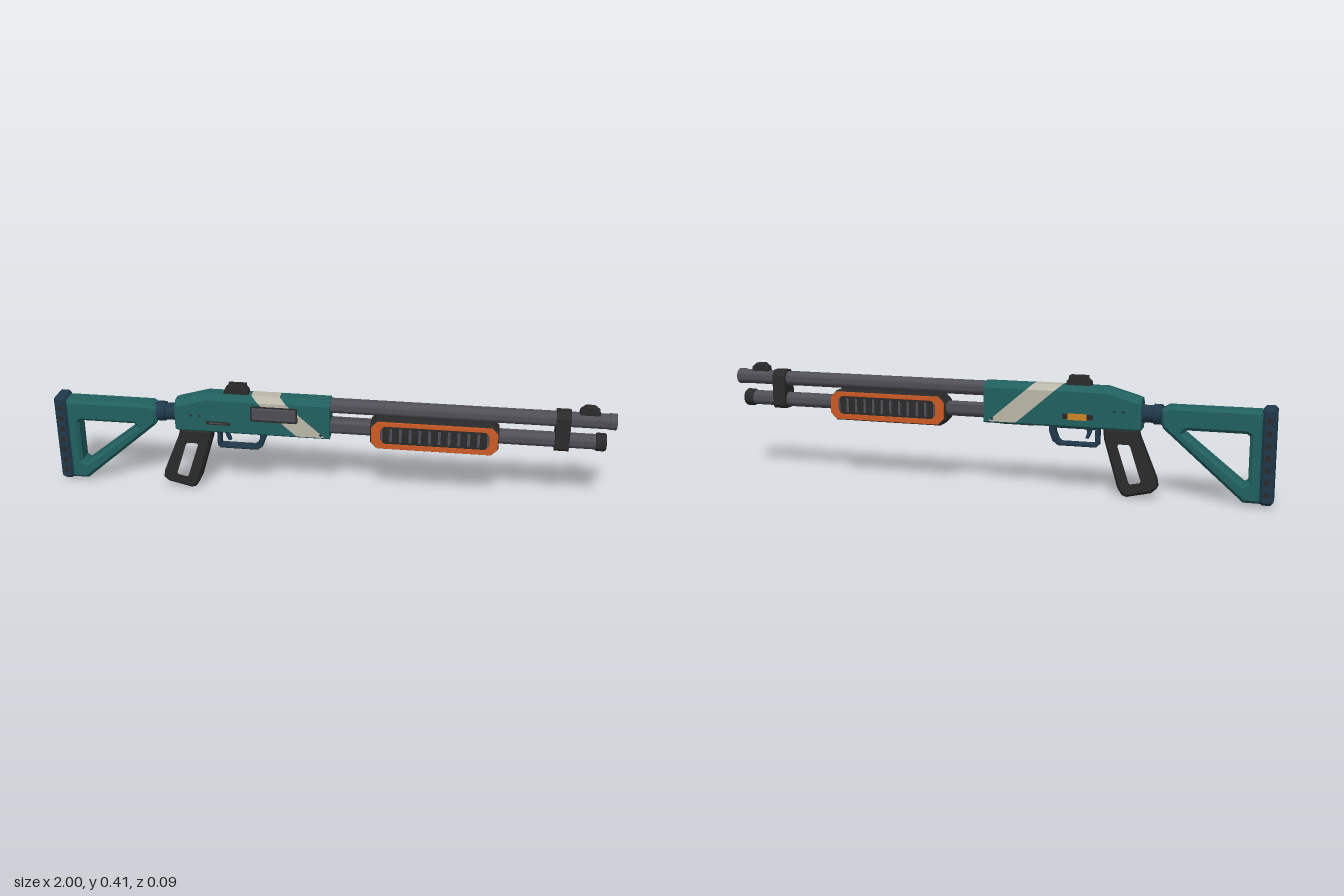
import * as THREE from 'three';
import { toCreasedNormals } from 'three/addons/utils/BufferGeometryUtils.js';
import { ConvexGeometry } from 'three/addons/geometries/ConvexGeometry.js';

const material = (name, color, extra = {}) => {
  const m = new THREE.MeshStandardMaterial({ color, ...extra });
  m.name = name;
  return m;
};

export function createModel() {
  const teal = material('teal', 0x21605f);
  const navy = material('navy', 0x20384a);
  const black = material('black', 0x2a2a2a);
  const metal = material('gunmetal', 0x504e56);
  const orange = material('orange', 0xcc5a24);
  const amber = material('amber', 0xcf8426);
  const cream = material('cream', 0xbab7a8, { side: THREE.DoubleSide });

  const model = new THREE.Group();
  model.name = 'pumpGun';

  const add = (name, geometry, mat) => {
    const mesh = new THREE.Mesh(geometry, mat);
    mesh.name = name;
    model.add(mesh);
    return mesh;
  };
  const box = (name, mat, x0, x1, y0, y1, z0, z1) =>
    add(name, new THREE.BoxGeometry(x1 - x0, y1 - y0, z1 - z0), mat)
      .position.set((x0 + x1) / 2, (y0 + y1) / 2, (z0 + z1) / 2);

  // Side outline extruded across z, with chamfered rims and an optional hole
  const toVectors = pts => pts.map(p => new THREE.Vector2(...p));
  const slab = (name, mat, pts, z0, z1, bevel = 0, hole = null) => {
    const shape = new THREE.Shape(toVectors(pts));
    if (hole) shape.holes.push(new THREE.Path(toVectors(hole)));
    const g = new THREE.ExtrudeGeometry(shape, {
      depth: z1 - z0 - 2 * bevel, bevelEnabled: bevel > 0, bevelSize: bevel,
      bevelThickness: bevel, bevelOffset: -bevel, bevelSegments: 1,
    });
    return add(name, g.translate(0, 0, z0 + bevel), mat);
  };

  // Rectangle with cut corners
  const cutRect = (x0, x1, y0, y1, c) => [
    [x0 + c, y0], [x1 - c, y0], [x1, y0 + c], [x1, y1 - c],
    [x1 - c, y1], [x0 + c, y1], [x0, y1 - c], [x0, y0 + c]];

  // Convex body through cross-sections [x, bottom, top, halfWidth, topCut, bottomCut]
  const hull = (name, mat, sections) => {
    const pts = [];
    for (const [x, y0, y1, w, c, b] of sections)
      for (const s of [-1, 1])
        pts.push(new THREE.Vector3(x, y0, s * (w - b)), new THREE.Vector3(x, y0 + b, s * w),
          new THREE.Vector3(x, y1 - c, s * w), new THREE.Vector3(x, y1, s * (w - c)));
    return add(name, new ConvexGeometry(pts), mat);
  };

  // Turned part along x from [radius, x] points
  const turned = (name, mat, y, pts, sides = 24) => {
    const g = toCreasedNormals(new THREE.LatheGeometry(toVectors(pts), sides), 0.6);
    return add(name, g.rotateZ(-Math.PI / 2).translate(0, y, 0), mat);
  };

  // Barrel with muzzle lip and bore, magazine tube and cap
  turned('barrel', metal, 0.354, [[0, 0], [0.027, 0], [0.027, 0.975], [0.029, 0.977],
    [0.029, 0.998], [0.027, 1], [0.019, 1], [0.019, 0.95]]);
  turned('bore', black, 0.354, [[0.019, 0.955], [0, 0.955]]);
  turned('magazineTube', metal, 0.274, [[0, 0], [0.027, 0], [0.027, 0.94], [0, 0.94]]);
  turned('magazineCap', black, 0.274, [[0, 0.935], [0.029, 0.935], [0.032, 0.941],
    [0.032, 0.966], [0.028, 0.972], [0, 0.972]]);
  for (const s of [-1, 1])
    box('actionBar', metal, 0, 0.17, 0.272, 0.296, s * 0.029 - 0.003, s * 0.029 + 0.003);

  // Barrel clamp and sights
  hull('barrelClamp', black, [[0.795, 0.242, 0.386, 0.036, 0.02, 0.012],
    [0.845, 0.242, 0.386, 0.036, 0.02, 0.012]]);
  slab('frontSight', black, [[0.87, 0.37], [0.945, 0.37], [0.94, 0.394], [0.922, 0.408],
    [0.892, 0.408], [0.874, 0.394]], -0.014, 0.014, 0.003);
  slab('rearSightBase', black, [[-0.373, 0.375], [-0.28, 0.375], [-0.285, 0.397],
    [-0.3, 0.407], [-0.352, 0.407], [-0.368, 0.397]], -0.018, 0.018);
  for (const s of [-1, 1])
    slab('rearSightEar', black, [[-0.36, 0.39], [-0.29, 0.39], [-0.293, 0.415], [-0.357, 0.415]],
      s * 0.013 - 0.005, s * 0.013 + 0.005);

  // Receiver
  hull('receiver', teal, [[-0.55, 0.238, 0.347, 0.036, 0.018, 0.006],
    [-0.535, 0.236, 0.352, 0.04, 0.02, 0.006],
    [-0.43, 0.236, 0.382, 0.04, 0.02, 0.006],
    [0.012, 0.236, 0.382, 0.04, 0.02, 0.006]]);

  // Slanted stripe wrapped over both sides and the top
  const over = [[0.242, 0.0407], [0.362, 0.0407], [0.3827, 0.0202],
    [0.3827, -0.0202], [0.362, -0.0407], [0.242, -0.0407]];
  const stripe = [], faces = [];
  over.forEach(([y, z], i) => {
    const x = -0.27 + (0.3827 - y) * 1.16;
    stripe.push(x, y, z, x + 0.102, y, z);
    if (i) faces.push(2 * i - 2, 2 * i - 1, 2 * i + 1, 2 * i - 2, 2 * i + 1, 2 * i);
  });
  const band = new THREE.BufferGeometry();
  band.setAttribute('position', new THREE.Float32BufferAttribute(stripe, 3));
  band.setIndex(faces);
  const flatBand = band.toNonIndexed();
  flatBand.computeVertexNormals();
  add('stripe', flatBand, cream);

  // Ejection port, slots, pins, safety and loading port
  slab('portFrame', black, cutRect(-0.272, -0.103, 0.292, 0.35, 0.004), 0.035, 0.044);
  slab('ejectionPort', metal, cutRect(-0.266, -0.109, 0.298, 0.345, 0.003), 0.035, 0.048, 0.003);
  box('sideSlot', black, -0.435, -0.348, 0.269, 0.281, 0.036, 0.0425);
  box('sideSlotBar', metal, -0.425, -0.36, 0.273, 0.277, 0.036, 0.0435);
  box('safetySlot', black, -0.385, -0.275, 0.266, 0.284, -0.042, -0.036);
  box('safety', amber, -0.363, -0.295, 0.264, 0.286, -0.045, -0.036);
  box('loadingPort', black, -0.17, -0.045, 0.232, 0.24, -0.022, 0.022);
  box('shellLifter', amber, -0.16, -0.125, 0.23, 0.24, -0.014, 0.014);
  for (const x of [-0.49, -0.46, -0.02]) {
    const pin = add('pin', new THREE.CylinderGeometry(0.005, 0.005, 0.084, 10), navy);
    pin.rotation.x = Math.PI / 2;
    pin.position.set(x, x < -0.4 ? 0.3 : 0.252, 0);
  }

  // Trigger guard and trigger
  slab('triggerGuard', navy, [[-0.402, 0.24], [-0.402, 0.175], [-0.392, 0.165], [-0.255, 0.165],
    [-0.235, 0.18], [-0.222, 0.215], [-0.222, 0.24]], -0.017, 0.017, 0.003,
    [[-0.388, 0.228], [-0.245, 0.228], [-0.245, 0.212], [-0.255, 0.187], [-0.265, 0.178], [-0.388, 0.178]]);
  slab('trigger', navy, [[-0.378, 0.238], [-0.352, 0.238], [-0.358, 0.215], [-0.352, 0.195],
    [-0.362, 0.193], [-0.371, 0.212]], -0.007, 0.007);

  // Open-frame grip
  slab('grip', black, [[-0.535, 0.24], [-0.418, 0.24], [-0.422, 0.2], [-0.472, 0.03], [-0.488, 0.005],
    [-0.505, 0], [-0.59, 0.02], [-0.608, 0.036], [-0.603, 0.065], [-0.543, 0.21]],
    -0.035, 0.035, 0.009,
    [[-0.523, 0.185], [-0.512, 0.195], [-0.468, 0.195], [-0.461, 0.18], [-0.505, 0.046],
      [-0.516, 0.038], [-0.556, 0.046], [-0.564, 0.06]]);

  // Stock tube, skeleton stock and butt pad
  turned('stockTube', navy, 0.293, [[0, -0.66], [0.03, -0.66], [0.03, -0.62], [0.036, -0.618],
    [0.036, -0.59], [0.031, -0.588], [0.031, -0.54], [0, -0.54]], 12);
  slab('stock', teal, [[-0.96, 0.012], [-0.9, 0.012], [-0.625, 0.25], [-0.618, 0.27],
    [-0.618, 0.315], [-0.64, 0.328], [-0.96, 0.328]], -0.038, 0.038, 0.011,
    [[-0.915, 0.24], [-0.905, 0.248], [-0.705, 0.248], [-0.695, 0.238], [-0.9, 0.075], [-0.915, 0.085]]);
  slab('buttPad', navy, cutRect(-1, -0.953, 0.008, 0.34, 0.01), -0.041, 0.041, 0.01);
  for (let i = 0; i < 7; i++)
    box('padNotch', black, -0.986, -0.968, 0.035 + i * 0.042, 0.055 + i * 0.042, -0.0416, 0.0416);

  // Pump: dark body with framed ribbed panels on both sides
  slab('pumpBody', black, cutRect(0.155, 0.605, 0.213, 0.323, 0.022), -0.044, 0.044, 0.012);
  for (const s of [-1, 1]) {
    const z = s * 0.0435;
    slab('pumpFrame', orange, cutRect(0.16, 0.602, 0.218, 0.32, 0.022), z - 0.0035, z + 0.0035, 0.001,
      cutRect(0.192, 0.572, 0.238, 0.304, 0.014));
    slab('pumpPanel', metal, cutRect(0.19, 0.574, 0.236, 0.306, 0.014), z - 0.002, z + 0.001);
    for (const y of [0.237, 0.297])
      box('pumpRail', black, 0.2, 0.564, y, y + 0.008, z - 0.0025, z + 0.0025);
    for (let i = 0; i < 11; i++) {
      const x = 0.212 + i * 0.034;
      box('pumpRib', black, x - 0.012, x + 0.012, 0.241, 0.301, z - 0.003, z + 0.003);
    }
  }

  return model;
}
